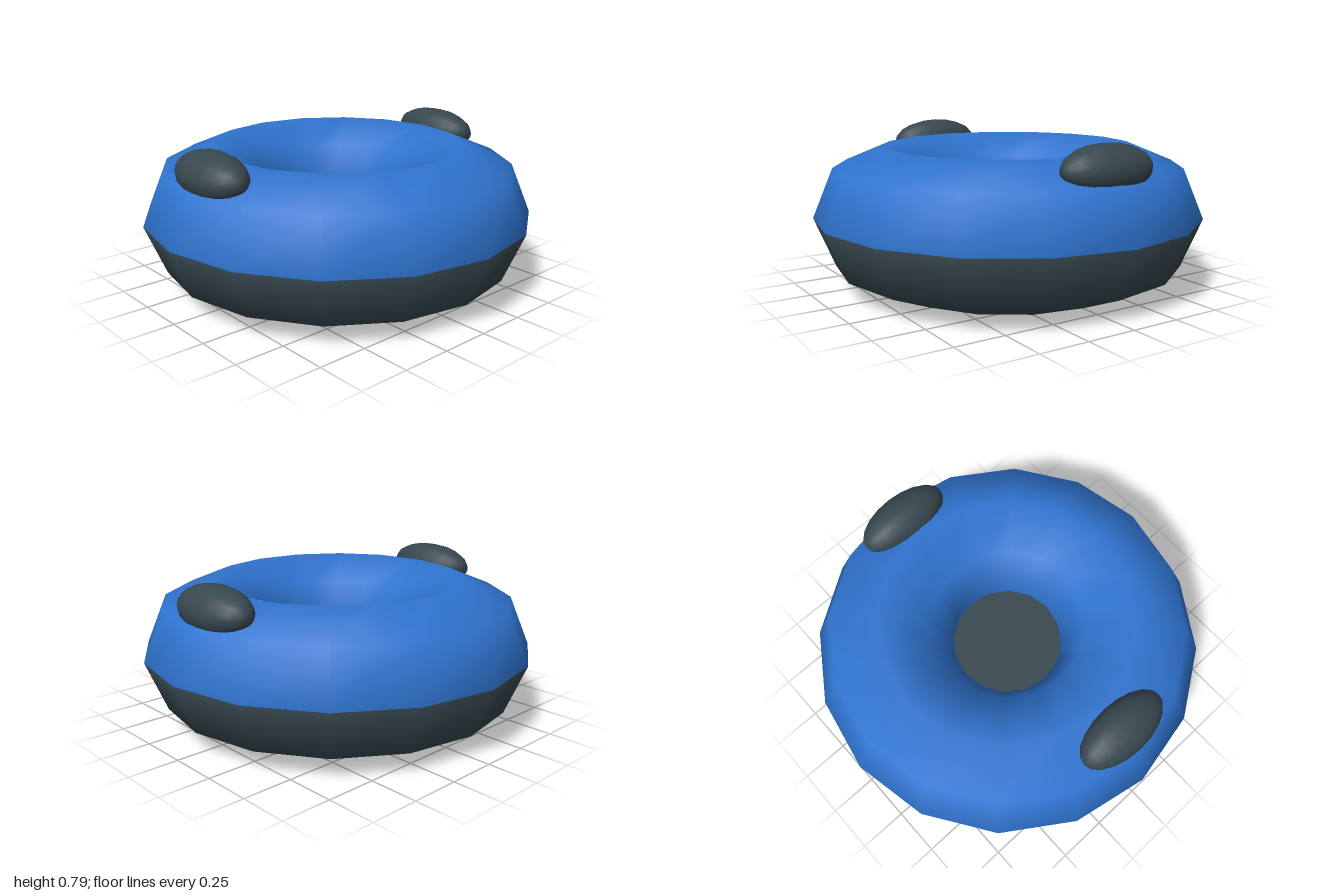
import * as THREE from 'three';

export function createModel() {
  const model = new THREE.Group();
  const blue = new THREE.MeshStandardMaterial({ color: 0x2f74d0 });
  blue.name = 'blue vinyl';
  const dark = new THREE.MeshStandardMaterial({ color: 0x37474f });
  dark.name = 'dark rubber';

  const ring = 0.643, tube = 0.357, sides = 16, tubeSides = 8;

  const add = (name, geometry, material) => {
    const mesh = new THREE.Mesh(geometry, material);
    mesh.name = name;
    model.add(mesh);
    return mesh;
  };

  // Inflated ring: blue upper half, dark lower half
  const torus = new THREE.TorusGeometry(ring, tube, tubeSides, sides);
  torus.rotateX(-Math.PI / 2);
  const half = torus.index.count / 2;
  torus.clearGroups();
  torus.addGroup(0, half, 0);
  torus.addGroup(half, half, 1);
  add('inflatedRing', torus, [blue, dark]).position.y = tube;

  // Thin seat floor closing the hole at mid height
  const floor = new THREE.CylinderGeometry(ring - tube, ring - tube, 0.008, sides);
  floor.rotateY(Math.PI / 2);
  add('seatFloor', floor, dark).position.y = tube;

  // Oval handles, tilted to lie on the outer slope; the second is the first turned half round
  for (const [side, name] of [[1, 'leftHandle'], [-1, 'rightHandle']]) {
    const oval = new THREE.SphereGeometry(1, 16, 10);
    oval.rotateX(Math.PI / 2);
    oval.scale(0.128, 0.112, 0.248);
    oval.rotateZ(-Math.PI / 8 * side);
    add(name, oval, dark).position.set(0.773 * side, 0.675, -0.02 * side);
  }

  return model;
}
